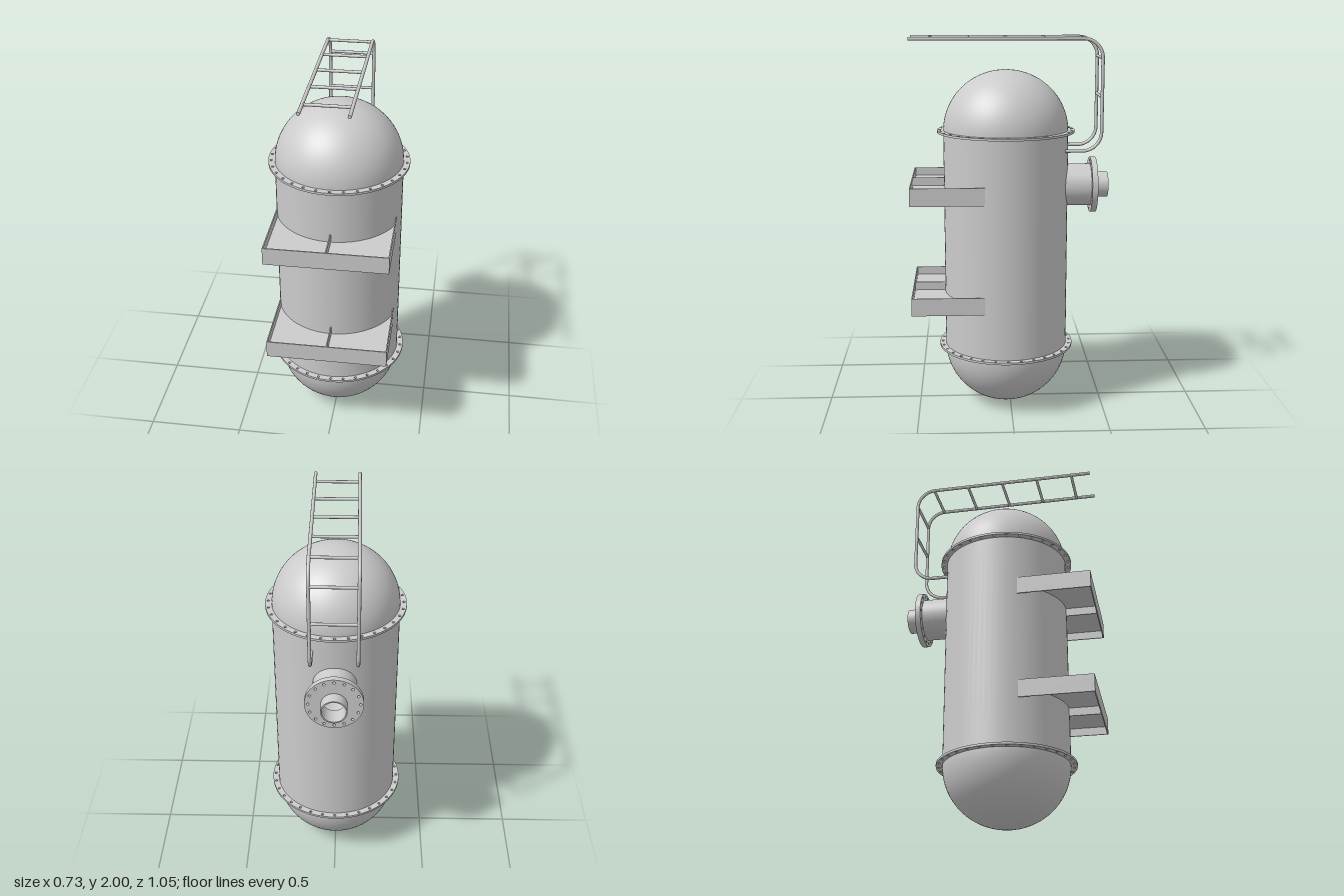
import * as THREE from 'three';

const mat = new THREE.MeshStandardMaterial({ color: 0xcccccc });
const sheet = new THREE.MeshStandardMaterial({ color: 0xcccccc, side: THREE.DoubleSide });
const R = 0.332, ZC = 0.022;         // tank radius and axis position
const LOW = 0.325, HIGH = 1.505;     // seam heights
const DOME = 0.322;

function add(parent, name, geo, x = 0, y = 0, z = 0, material = mat) {
  const m = new THREE.Mesh(geo, material);
  m.name = name;
  m.position.set(x, y, z);
  parent.add(m);
  return m;
}

// Flat ring with a circle of bolt holes, centred on its thickness, facing z
function boltRing(outer, inner, thick, boltR, count, holeR) {
  const s = new THREE.Shape().absarc(0, 0, outer, 0, Math.PI * 2);
  s.holes.push(new THREE.Path().absarc(0, 0, inner, 0, Math.PI * 2, true));
  for (let i = 0; i < count; i++) {
    const a = (i / count) * Math.PI * 2;
    const x = boltR * Math.cos(a), y = boltR * Math.sin(a);
    s.holes.push(new THREE.Path().absarc(x, y, holeR, 0, Math.PI * 2, true));
  }
  return new THREE.ExtrudeGeometry(s, { depth: thick, bevelEnabled: false, curveSegments: 36 })
    .translate(0, 0, -thick / 2);
}

// Hollow pipe along z, from z0 (front) to z1 (back)
function pipe(outer, inner, z0, z1) {
  const s = new THREE.Shape().absarc(0, 0, outer, 0, Math.PI * 2);
  s.holes.push(new THREE.Path().absarc(0, 0, inner, 0, Math.PI * 2, true));
  return new THREE.ExtrudeGeometry(s, { depth: z0 - z1, bevelEnabled: false, curveSegments: 32 })
    .translate(0, 0, z1);
}

function buildTank() {
  const g = new THREE.Group();
  g.name = 'tank';
  add(g, 'shell', new THREE.CylinderGeometry(R, R, HIGH - LOW, 72, 1, true), 0, (HIGH + LOW) / 2, ZC);
  const half = () => new THREE.SphereGeometry(R, 72, 24, 0, Math.PI * 2, 0, Math.PI / 2).scale(1, DOME / R, 1);
  add(g, 'topDome', half(), 0, HIGH, ZC);
  add(g, 'bottomDome', half().rotateX(Math.PI), 0, LOW, ZC);
  for (const [name, y] of [['lowerFlange', LOW], ['upperFlange', HIGH]])
    add(g, name, boltRing(0.365, R - 0.006, 0.012, 0.35, 32, 0.007).rotateX(Math.PI / 2), 0, y, ZC);
  return g;
}

// Mounting bracket: rimmed plate cut to the shell, with a centre web
function buildBracket(y) {
  const g = new THREE.Group();
  g.name = 'bracket';
  g.position.y = y;
  const W = 0.315, H = 0.094, T = 0.006, front = 0.525, back = 0.14;
  const r = R - 0.004, a = Math.acos((W - T) / r);
  const s = new THREE.Shape();
  s.moveTo(-W + T, front - T);
  s.lineTo(W - T, front - T);
  s.absarc(0, ZC, r, a, Math.PI - a, false);
  s.closePath();
  const plate = new THREE.ExtrudeGeometry(s, { depth: T, bevelEnabled: false, curveSegments: 36 });
  add(g, 'plate', plate.translate(0, 0, -T / 2).rotateX(Math.PI / 2), 0, 0, 0, sheet);
  add(g, 'frontWall', new THREE.BoxGeometry(2 * W, H, T), 0, 0, front - T / 2);
  for (const side of [-1, 1])
    add(g, 'sideWall', new THREE.BoxGeometry(T, H, front - back), side * (W - T / 2), 0, (front + back) / 2);
  add(g, 'web', new THREE.BoxGeometry(T, H, 0.175), 0, 0, front - 0.0875);
  return g;
}

function buildNozzle() {
  const g = new THREE.Group();
  g.name = 'nozzle';
  g.position.y = 1.21;
  add(g, 'neck', pipe(0.113, 0.103, -0.25, -0.43));
  add(g, 'nozzleFlange', boltRing(0.149, 0.06, 0.03, 0.131, 16, 0.007), 0, 0, -0.445);
  add(g, 'outletPipe', pipe(0.067, 0.06, -0.46, -0.525));
  return g;
}

function buildLadder() {
  const g = new THREE.Group();
  g.name = 'ladder';
  const X = 0.117, r = 0.009, top = 1.991, bottom = 1.41, back = -0.475, bend = 0.1;
  const v = (y, z) => new THREE.Vector3(0, y, z);
  const k = bend * 0.45;
  const path = new THREE.CurvePath();
  path.add(new THREE.LineCurve3(v(top, 0.525), v(top, back + bend)));
  path.add(new THREE.CubicBezierCurve3(v(top, back + bend), v(top, back + k), v(top - k, back), v(top - bend, back)));
  path.add(new THREE.LineCurve3(v(top - bend, back), v(bottom + bend, back)));
  path.add(new THREE.CubicBezierCurve3(v(bottom + bend, back), v(bottom + k, back), v(bottom, back + k), v(bottom, back + bend)));
  path.add(new THREE.LineCurve3(v(bottom, back + bend), v(bottom, -0.28)));
  for (const side of [-1, 1]) {
    add(g, 'rail', new THREE.TubeGeometry(path, 140, r, 12), side * X);
    add(g, 'railCap', new THREE.CircleGeometry(r, 12), side * X, top, 0.525);
  }
  // Rungs along the top run, then down the back
  const rungs = [0.42, 0.22, 0.02, -0.18, -0.38].map(z => [top, z]);
  rungs.push([1.89, back], [1.69, back]);
  for (const [y, z] of rungs)
    add(g, 'rung', new THREE.CylinderGeometry(0.008, 0.008, 2 * X, 12).rotateZ(Math.PI / 2), 0, y, z);
  return g;
}

export function createModel() {
  const model = new THREE.Group();
  model.name = 'storageTank';
  model.add(buildTank(), buildBracket(1.207), buildBracket(0.625), buildNozzle(), buildLadder());
  return model;
}
